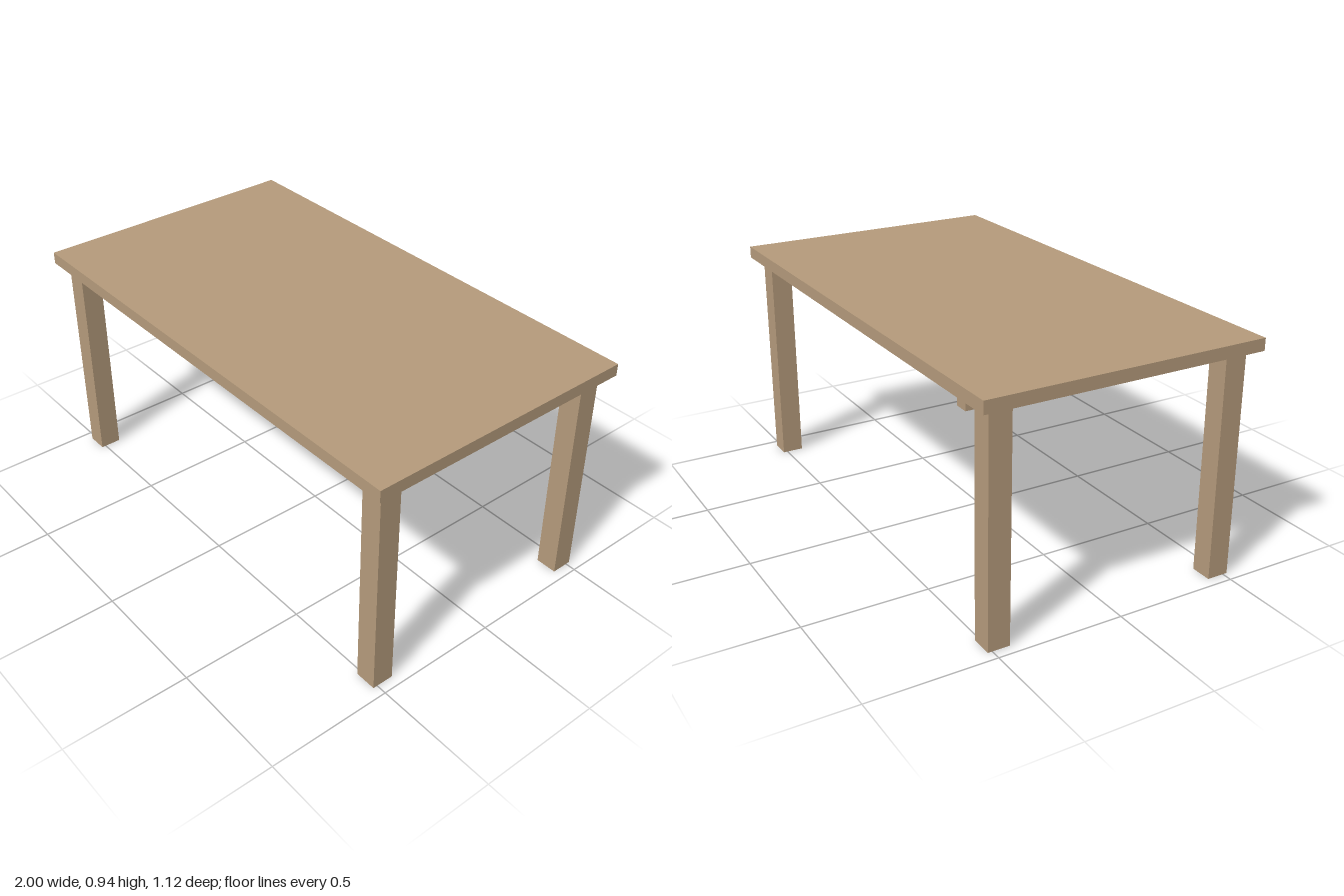
import * as THREE from 'three';

const TOP = { width: 2, depth: 1.122, thickness: 0.048 };
const LEG = { side: 0.087, height: 0.89, x: 0.914, z: 0.474 };

export function createModel() {
  const table = new THREE.Group();
  table.name = 'table';
  const wood = new THREE.MeshStandardMaterial({ color: 0xb49a7b });

  // Flat rectangular top resting on the legs
  const tableTop = new THREE.Mesh(new THREE.BoxGeometry(TOP.width, TOP.thickness, TOP.depth), wood);
  tableTop.name = 'tableTop';
  tableTop.position.y = LEG.height + TOP.thickness / 2;
  table.add(tableTop);

  // Four square legs, set in slightly from the corners
  const legGeometry = new THREE.BoxGeometry(LEG.side, LEG.height, LEG.side);
  for (const sx of [-1, 1]) {
    for (const sz of [-1, 1]) {
      const leg = new THREE.Mesh(legGeometry, wood);
      leg.name = (sz > 0 ? 'front' : 'back') + (sx > 0 ? 'Left' : 'Right') + 'Leg';
      leg.position.set(sx * LEG.x, LEG.height / 2, sz * LEG.z);
      table.add(leg);
    }
  }

  return table;
}
